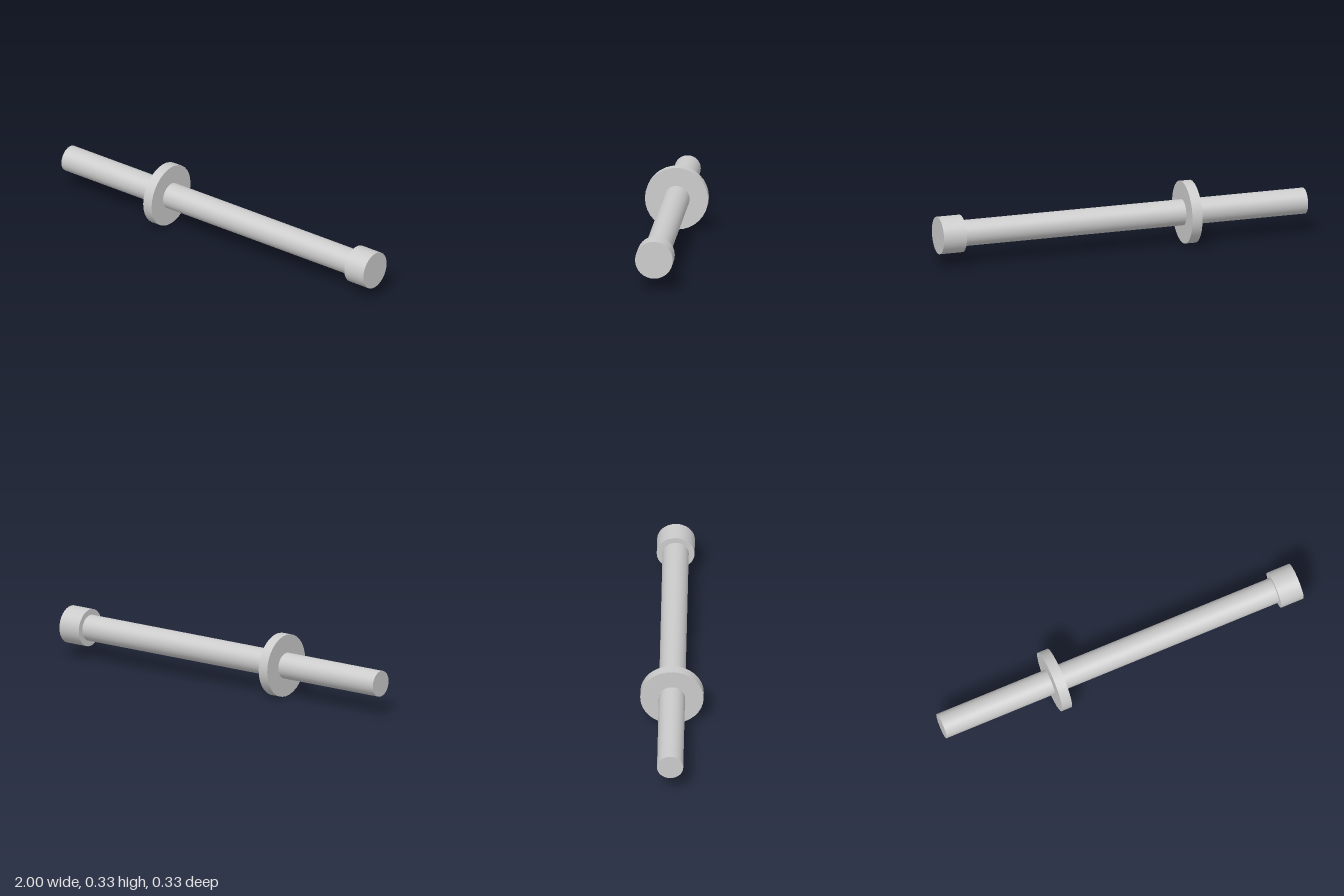
import * as THREE from 'three';

const AXIS_Y = 0.164;
const material = new THREE.MeshStandardMaterial({ color: 0xcccccc });

// Solid round section lying along x, from x0 to x1
function roundBar(name, radius, x0, x1) {
  const geometry = new THREE.CylinderGeometry(radius, radius, x1 - x0, 32);
  geometry.rotateZ(-Math.PI / 2);
  const mesh = new THREE.Mesh(geometry, material);
  mesh.name = name;
  mesh.position.set((x0 + x1) / 2, AXIS_Y, 0);
  return mesh;
}

export function createModel() {
  const model = new THREE.Group();
  model.name = 'flangedRod';
  model.add(
    roundBar('shaft', 0.068, -1, 0.88), // long rod, seated slightly into the end cap
    roundBar('flange', 0.164, -0.39, -0.335), // thin disc around the rod
    roundBar('endCap', 0.098, 0.875, 1), // thicker head
  );
  return model;
}
